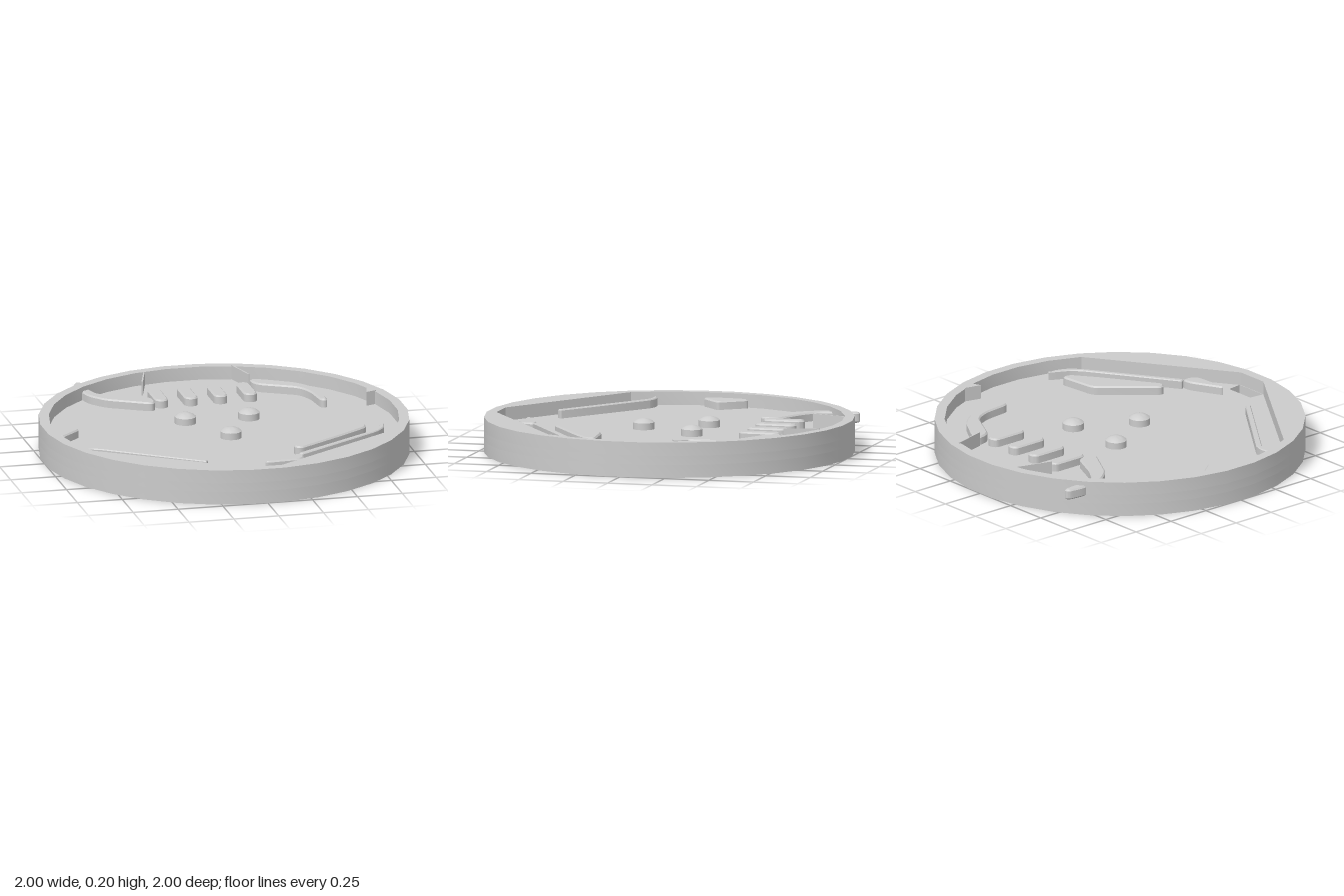
import * as THREE from 'three';
import { toCreasedNormals } from 'three/addons/utils/BufferGeometryUtils.js';

const DRAIN = 0.07, FLOOR = 0.12, PART_TOP = 0.168, RIM_TOP = 0.193, WALL_TOP = 0.198, SIDES = 32;
const material = new THREE.MeshStandardMaterial({ color: 0xcccccc });

// Plan outlines are [x, z] points; the shape plane is later laid flat.
const toVec = ([x, z]) => new THREE.Vector2(x, -z);

// Straight-edged outline, with an optional hole wound the opposite way.
function polygon(pts, hole) {
  const orient = (p, clockwise) =>
    THREE.ShapeUtils.isClockWise(p) === clockwise ? p : p.reverse();
  const shape = new THREE.Shape(orient(pts.map(toVec), false));
  if (hole) shape.holes.push(new THREE.Path(orient(hole.map(toVec), true)));
  return shape;
}

// Closed outline whose corners are rounded by up to r.
function rounded(pts, r) {
  const p = pts.map(toVec), n = p.length, shape = new THREE.Shape();
  const toward = (a, b) => {
    const d = a.distanceTo(b);
    return a.clone().lerp(b, Math.min(r, d * 0.45) / d);
  };
  p.forEach((c, i) => {
    const start = toward(c, p[(i + n - 1) % n]), end = toward(c, p[(i + 1) % n]);
    if (i === 0) shape.moveTo(start.x, start.y);
    else shape.lineTo(start.x, start.y);
    shape.quadraticCurveTo(c.x, c.y, end.x, end.y);
  });
  shape.closePath();
  return shape;
}

// Upright slab from y0 to y1, with an optional small chamfer.
function slab(name, shape, y0, y1, bevel = 0) {
  const geo = new THREE.ExtrudeGeometry(shape, {
    depth: y1 - y0 - 2 * bevel, curveSegments: 5, bevelEnabled: bevel > 0,
    bevelSize: bevel, bevelOffset: -bevel, bevelThickness: bevel, bevelSegments: 1,
  });
  geo.rotateX(-Math.PI / 2).translate(0, y0 + bevel, 0);
  const mesh = new THREE.Mesh(toCreasedNormals(geo, 0.5), material);
  mesh.name = name;
  return mesh;
}

const raised = (name, pts, r, bevel = 0.008) =>
  slab(name, rounded(pts, r), FLOOR - 0.009, PART_TOP, bevel);

// Ring of points with flat sides facing the axes.
function ring(radius) {
  return Array.from({ length: SIDES }, (_, i) => {
    const a = ((i + 0.5) / SIDES) * Math.PI * 2;
    return [radius * Math.cos(a), radius * Math.sin(a)];
  });
}

export function createModel() {
  const group = new THREE.Group();
  const outer = ring(1 / Math.cos(Math.PI / SIDES));

  // Base, floor with a sunken drain, and rim that narrows to a funnel at the front
  const inner = ring(0.95).filter(([x, z]) => z < 0.5 || Math.abs(x) < 0.15);
  const drain = [[-0.085, 0.858], [0.088, 0.858], [0.1, 0.942], [-0.093, 0.942]];
  group.add(slab('base', polygon(outer), 0, DRAIN));
  group.add(slab('floor', polygon(outer, drain), DRAIN, FLOOR));
  group.add(slab('rim', polygon(outer, inner), FLOOR, RIM_TOP));

  // Round bumpers with low domed caps
  const profile = [[0.058, FLOOR - 0.01], [0.058, 0.157], [0.047, 0.166], [0.032, 0.174], [0.016, 0.178], [0, 0.18]];
  const bumperGeo = toCreasedNormals(
    new THREE.LatheGeometry(profile.map(([x, y]) => new THREE.Vector2(x, y)), 24), 0.6);
  for (const [x, z] of [[-0.172, -0.177], [0.182, -0.177], [0.004, 0.143]]) {
    const bumper = new THREE.Mesh(bumperGeo, material);
    bumper.name = 'bumper';
    bumper.position.set(x, 0, z);
    group.add(bumper);
  }

  // Row of pill-shaped lane dividers
  for (const x of [-0.227, -0.062, 0.103, 0.268]) {
    const pill = new THREE.Shape(), w = 0.037;
    pill.absarc(0, 0.66, w, 0, Math.PI);
    pill.absarc(0, 0.505, w, Math.PI, Math.PI * 2);
    pill.closePath();
    const divider = slab('laneDivider', pill, FLOOR - 0.009, PART_TOP, 0.008);
    divider.position.x = x;
    group.add(divider);
  }

  // Curved guides at the back; the right one runs out through the rim
  group.add(raised('rightBackGuide', [
    [-0.618, -0.905], [-0.63, -0.8], [-0.617, -0.735], [-0.595, -0.645], [-0.525, -0.555], [-0.295, -0.425],
    [-0.27, -0.455], [-0.275, -0.535], [-0.455, -0.615], [-0.545, -0.675], [-0.57, -0.775], [-0.578, -0.905],
  ], 0.035));
  group.add(raised('leftBackGuide', [
    [0.315, -0.745], [0.385, -0.73], [0.555, -0.625], [0.62, -0.535], [0.64, -0.435], [0.65, -0.275],
    [0.608, -0.275], [0.59, -0.445], [0.55, -0.535], [0.335, -0.65],
  ], 0.045));

  // Long thin rails leading to the front, with square ends
  group.add(raised('rightRail', [
    [-0.895, 0.323], [-0.86, 0.306], [-0.81, 0.303], [-0.76, 0.318], [-0.253, 0.678], [-0.27, 0.702],
    [-0.775, 0.346], [-0.815, 0.33], [-0.86, 0.327],
  ], 0.006, 0.005));
  group.add(raised('leftRail', [
    [0.831, 0.203], [0.832, 0.25], [0.815, 0.305], [0.78, 0.35], [0.74, 0.382], [0.272, 0.69], [0.254, 0.664],
    [0.725, 0.36], [0.775, 0.313], [0.8, 0.265],
  ], 0.006, 0.005));

  // Kicker, flipper and side target
  group.add(raised('leftKicker', [
    [0.503, 0.238], [0.733, 0.215], [0.728, 0.268], [0.593, 0.368], [0.293, 0.568], [0.253, 0.528],
  ], 0.035));
  group.add(raised('leftFlipper', [
    [0.038, 0.77], [0.213, 0.684], [0.273, 0.68], [0.268, 0.74], [0.238, 0.772], [0.053, 0.786],
  ], 0.025));
  group.add(raised('rightTarget', [
    [-0.905, -0.2], [-0.79, -0.05], [-0.915, 0.065], [-0.942, 0.033], [-0.932, -0.155],
  ], 0.025));

  // Small wedge on the left wall
  group.add(slab('leftWedge', polygon([[0.88, -0.35], [0.914, -0.278], [0.856, -0.255]]),
    FLOOR - 0.005, WALL_TOP));

  // Thin walls standing in from the back rim
  for (const [name, x0, x1] of [['rightBackWall', -0.22, -0.278], ['leftBackWall', 0.267, 0.318]]) {
    const t = 0.004;
    group.add(slab(name, polygon([[x0 - t, -0.92], [x0 + t, -0.92], [x1 + t, -0.73], [x1 - t, -0.73]]),
      FLOOR - 0.005, WALL_TOP));
  }
  return group;
}
